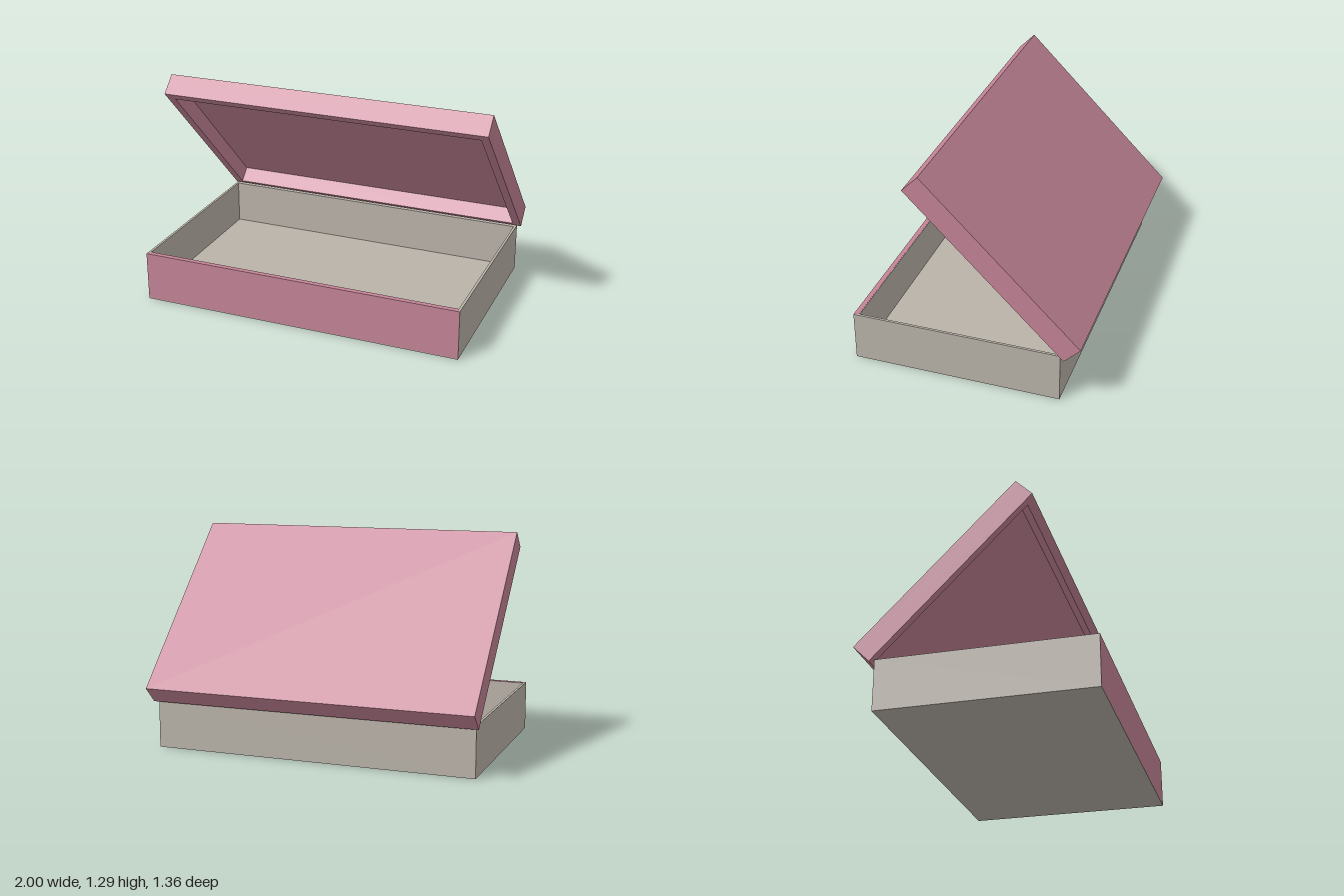
import * as THREE from 'three';

const pink = new THREE.MeshStandardMaterial({ color: 0xc48497 });
pink.name = 'dusty pink';
const beige = new THREE.MeshStandardMaterial({ color: 0xbab3a9 });
beige.name = 'warm grey';

function box(name, mat, x0, x1, y0, y1, z0, z1) {
  const m = new THREE.Mesh(new THREE.BoxGeometry(x1 - x0, y1 - y0, z1 - z0), mat);
  m.position.set((x0 + x1) / 2, (y0 + y1) / 2, (z0 + z1) / 2);
  m.name = name;
  return m;
}

// Extrude an outline given as [x, y] points, with an optional hole
function prism(name, mat, pts, depth, hole) {
  const toV = (p) => p.map(([x, y]) => new THREE.Vector2(x, y));
  const shape = new THREE.Shape(toV(pts));
  if (hole) shape.holes.push(new THREE.Path(toV(hole)));
  const m = new THREE.Mesh(new THREE.ExtrudeGeometry(shape, { depth, bevelEnabled: false }), mat);
  m.name = name;
  return m;
}

const rect = (hw, y0, y1) => [[-hw, y0], [hw, y0], [hw, y1], [-hw, y1]];

function createTray() {
  const g = new THREE.Group();
  g.name = 'tray';
  const W = 0.98, IW = 0.965, F = 0.68, IF = 0.65, B = -0.56, IB = -0.53;
  const bottom = 0.005, top = 0.3;

  // Upright walls: plan outline [x, -z] extruded upward, mitred at the front
  const upright = (name, mat, pts) => {
    const m = prism(name, mat, pts.map(([x, z]) => [x, -z]), top - bottom);
    m.rotation.x = -Math.PI / 2;
    m.position.y = bottom;
    g.add(m);
  };
  upright('sideAndBackWalls', beige, [
    [-W, F], [-W, B], [W, B], [W, F], [IW, IF], [IW, IB], [-IW, IB], [-IW, IF]]);
  upright('frontWall', pink, [[-W, F], [W, F], [IW, IF], [-IW, IF]]);

  // Inner lining of the front wall, floor and base
  g.add(box('frontLining', beige, -IW, IW, bottom, top - 0.001, IF - 0.003, IF));
  g.add(box('floor', beige, -IW, IW, bottom, 0.03, IB, IF));
  g.add(box('base', beige, -W, W, 0, bottom, B, F));
  return g;
}

function createLid() {
  // Local y runs up the slope, local z points to the open underside
  const g = new THREE.Group();
  g.name = 'lid';
  const L = 1.29, panel = 0.035, depth = 0.135;
  g.add(box('lidPanel', pink, -1, 1, 0, L, 0, panel));
  const rim = prism('lidRim', pink, rect(1, 0, L), depth - panel, rect(0.95, 0.03, L - 0.055));
  rim.position.z = panel;
  g.add(rim);
  g.position.set(0, 0.381, -0.68);
  g.rotation.x = Math.PI / 4;
  return g;
}

export function createModel() {
  const model = new THREE.Group();
  model.name = 'openBox';
  model.add(createTray(), createLid());
  return model;
}
